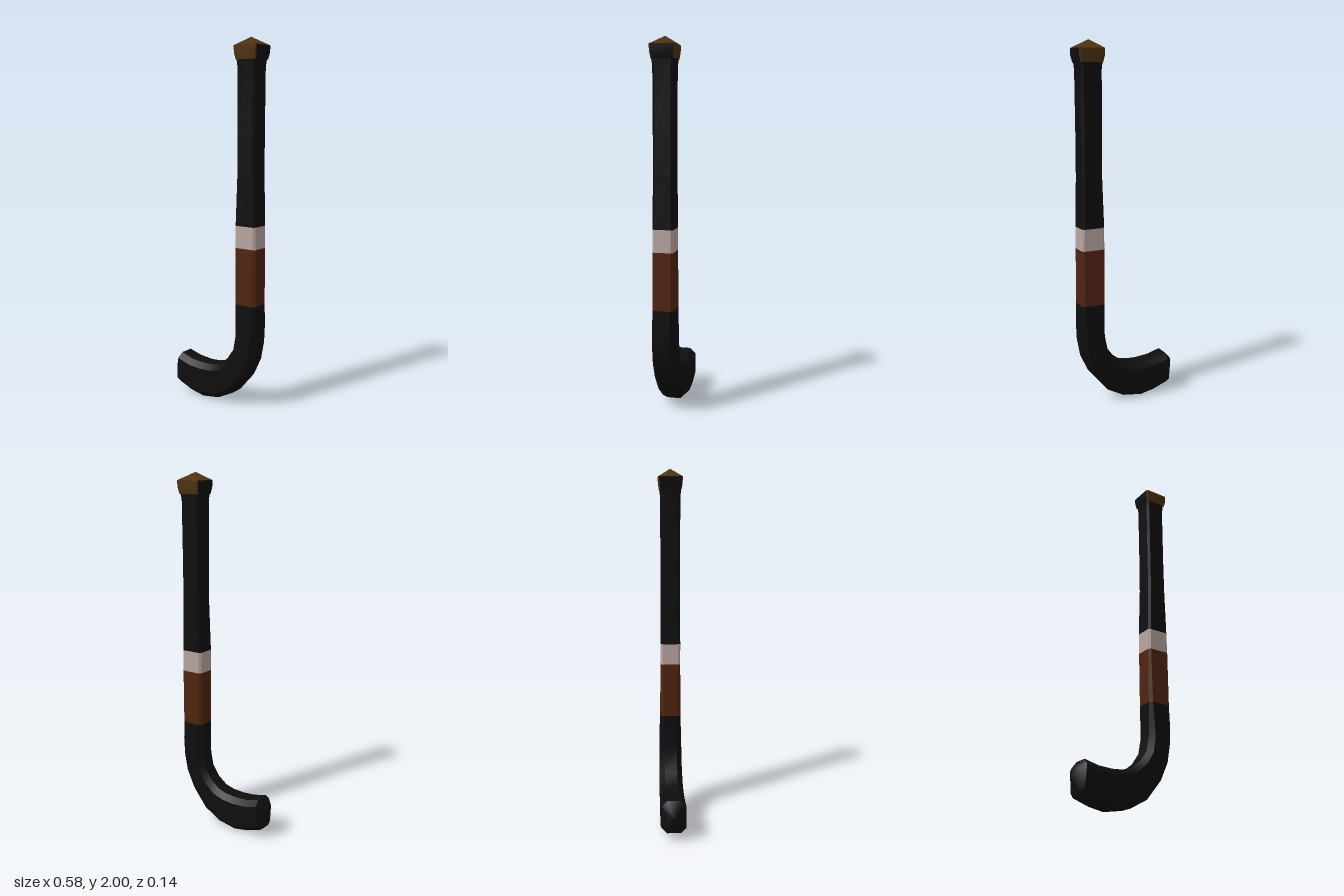
import * as THREE from 'three';
import { toCreasedNormals } from 'three/addons/utils/BufferGeometryUtils.js';

const mat = (name, color) => {
  const m = new THREE.MeshStandardMaterial({ color });
  m.name = name;
  return m;
};

// A station is [inner x, inner y, outer x, outer y, half depth, chamfer]; each becomes a chamfered rectangle.
function ring([ix, iy, ox, oy, d, c]) {
  const width = Math.hypot(ox - ix, oy - iy);
  const s = width > 0 ? Math.min(c / width, 0.45) : 0;
  const zi = Math.max(d - c, 0);
  return [[1, zi], [1, -zi], [1 - s, -d], [s, -d], [0, -zi], [0, zi], [s, d], [1 - s, d]]
    .map(([t, z]) => [ix + (ox - ix) * t, iy + (oy - iy) * t, z]);
}

// Skin consecutive stations; sides 0 and 4 (facing +x and -x) use material group 1.
function sweep(stations, crease = 0.6) {
  const positions = stations.flatMap(ring).flat();
  const index = [];
  const geometry = new THREE.BufferGeometry();
  for (let i = 0; i < stations.length - 1; i++) {
    for (let j = 0; j < 8; j++) {
      const k = (j + 1) % 8;
      const a = i * 8 + j, b = i * 8 + k, c = a + 8, e = b + 8;
      geometry.addGroup(index.length, 6, j % 4 === 0 ? 1 : 0);
      index.push(c, e, b, c, b, a);
    }
  }
  geometry.setAttribute('position', new THREE.Float32BufferAttribute(positions, 3));
  geometry.setIndex(index);
  return toCreasedNormals(geometry, crease);
}

export function createModel() {
  const group = new THREE.Group();
  const black = mat('black', 0x0e0e0e);
  const rust = mat('rust brown', 0x50240f);
  const pale = mat('pale grey', 0xb9a6a1);
  const bronze = mat('bronze brown', 0x4f330f);

  const add = (name, stations, material, crease) => {
    const geometry = sweep(stations, crease);
    if (!Array.isArray(material)) geometry.clearGroups();
    const mesh = new THREE.Mesh(geometry, material);
    mesh.name = name;
    group.add(mesh);
  };
  const level = (y, x0, x1, d, c = 0.012) => [x0, y, x1, y, d, c];

  // Straight upper shaft, flaring slightly under the knob
  const bandTop = level(1.02, 0.15, 0.28, 0.056);
  add('grip', [
    level(1.89, 0.154, 0.279, 0.06),
    level(1.85, 0.157, 0.275, 0.055),
    level(1.5, 0.159, 0.274, 0.054),
    level(1.3, 0.159, 0.275, 0.054),
    bandTop,
  ], black);

  // Coloured bands
  const bandMiddle = level(0.9, 0.15, 0.282, 0.056);
  const bandBottom = level(0.59, 0.15, 0.284, 0.058, 0.016);
  add('paleBand', [bandTop, bandMiddle], pale);
  add('rustBand', [bandMiddle, bandBottom], rust);

  // Curved hook, closing to a blunt point
  add('hook', [
    bandBottom,
    [0.15, 0.48, 0.289, 0.48, 0.062, 0.022],
    [0.148, 0.40, 0.286, 0.38, 0.064, 0.026],
    [0.132, 0.32, 0.268, 0.28, 0.065, 0.028],
    [0.09, 0.26, 0.222, 0.18, 0.066, 0.03],
    [0.035, 0.218, 0.13, 0.07, 0.067, 0.03],
    [-0.02, 0.204, 0.03, 0.017, 0.068, 0.03],
    [-0.08, 0.2, -0.08, 0, 0.069, 0.03],
    [-0.16, 0.206, -0.165, 0.017, 0.07, 0.03],
    [-0.238, 0.228, -0.255, 0.048, 0.068, 0.03],
    [-0.276, 0.188, -0.267, 0.056, 0.038, 0.015],
    [-0.293, 0.145, -0.293, 0.145, 0, 0],
  ], black);

  // Knob with dark sides and a low pyramid top
  const knobRim = level(1.957, 0.146, 0.289, 0.068, 0.005);
  add('knob', [
    knobRim,
    level(1.92, 0.147, 0.288, 0.066, 0.005),
    level(1.885, 0.154, 0.28, 0.061, 0.006),
  ], [bronze, black]);
  add('knobTop', [[0.212, 2, 0.212, 2, 0, 0], knobRim], bronze);

  return group;
}
